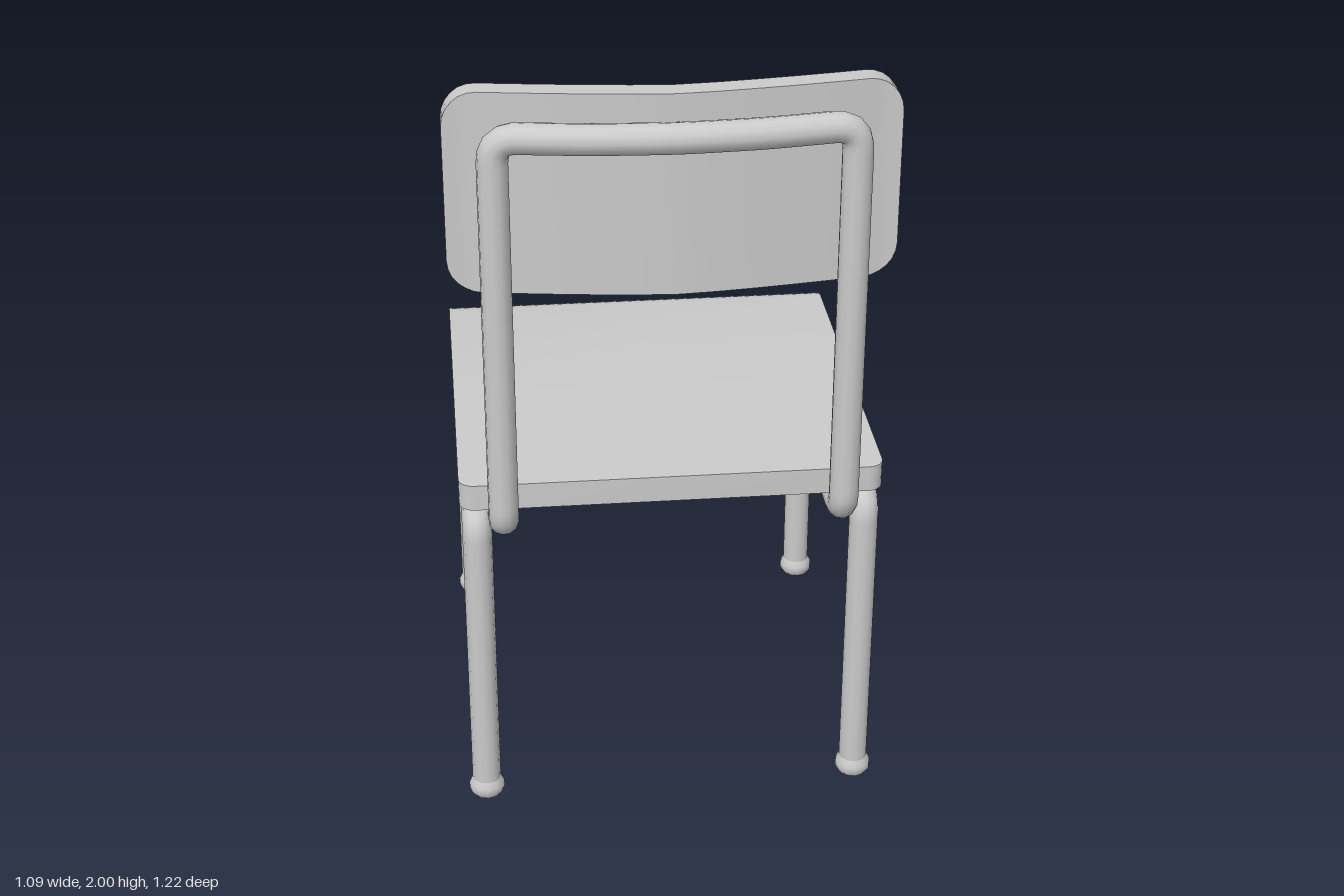
import * as THREE from 'three';
import { toCreasedNormals } from 'three/addons/utils/BufferGeometryUtils.js';

const material = new THREE.MeshStandardMaterial({ color: 0xcccccc });
const TUBE_R = 0.038;

function addMesh(parent, name, geometry) {
  const mesh = new THREE.Mesh(geometry, material);
  mesh.name = name;
  parent.add(mesh);
  return mesh;
}

// Bent steel tube through corner points, each corner rounded off
function bentTube(corners, bend, closed, segments) {
  const pts = corners.map((c) => new THREE.Vector3(...c));
  const n = pts.length;
  const toward = (a, b) => a.clone().lerp(b, Math.min(0.5, bend / a.distanceTo(b)));
  const path = new THREE.CurvePath();
  let last = closed ? toward(pts[0], pts[1]) : pts[0];
  for (let i = 1; i < (closed ? n + 1 : n - 1); i++) {
    const p = pts[i % n];
    const before = toward(p, pts[(i - 1) % n]);
    const after = toward(p, pts[(i + 1) % n]);
    if (last.distanceTo(before) > 1e-4) path.add(new THREE.LineCurve3(last, before));
    path.add(new THREE.QuadraticBezierCurve3(before, p, after));
    last = after;
  }
  if (!closed) path.add(new THREE.LineCurve3(last, pts[n - 1]));
  return new THREE.TubeGeometry(path, segments, TUBE_R, 12, closed);
}

// Curved board running along z with rounded corners; offset(z) lifts each section
function board(from, to, halfWidth, thickness, radius, offset, middle) {
  const stations = [];
  const steps = 6;
  for (let i = 0; i <= steps; i++) {
    const a = (i / steps) * Math.PI / 2;
    const inset = radius * (1 - Math.cos(a));
    const w = halfWidth - radius * (1 - Math.sin(a));
    stations.push([from + inset, w], [to - inset, w]);
  }
  middle.forEach((z) => stations.push([z, halfWidth]));
  stations.sort((a, b) => a[0] - b[0]);
  const n = stations.length - 1;
  const geometry = new THREE.BoxGeometry(1, 1, 1, 1, 1, n);
  const pos = geometry.attributes.position;
  for (let i = 0; i < pos.count; i++) {
    const [z, w] = stations[Math.round((pos.getZ(i) + 0.5) * n)];
    pos.setXYZ(i, pos.getX(i) * 2 * w, pos.getY(i) * thickness + offset(z), z);
  }
  return geometry;
}

export function createModel() {
  const chair = new THREE.Group();
  chair.name = 'chair';

  // Seat with its free edge curling down
  const lip = (z) => 0.926 - 0.032 * Math.max(0, (-0.52 - z) / 0.085) ** 1.5;
  addMesh(chair, 'seat', toCreasedNormals(
    board(-0.605, 0.495, 0.54, 0.07, 0.04, lip, [-0.55, -0.535, -0.52, 0]), 0.6));

  // Backrest, bowed across its width; turned so its length runs along x
  const bow = (x) => {
    const t = Math.min(1, Math.abs(x) / 0.5);
    return 0.511 - 0.062 * t ** 1.35;
  };
  const rest = board(-0.545, 0.545, 0.255, 0.062, 0.085, bow,
    [-0.4, -0.3, -0.2, -0.1, 0, 0.1, 0.2, 0.3, 0.4]);
  rest.applyMatrix4(new THREE.Matrix4().makeBasis(
    new THREE.Vector3(0, 1, 0), new THREE.Vector3(0, 0, 1), new THREE.Vector3(1, 0, 0)));
  addMesh(chair, 'backrest', toCreasedNormals(rest, 0.6)).position.y = 1.745;

  // One closed tube: bowed top, uprights, rails under the seat and cross bar
  addMesh(chair, 'backFrame', bentTube([
    [0, 1.902, 0.572], [0.2, 1.902, 0.561], [0.43, 1.902, 0.528],
    [0.43, 0.855, 0.528], [0.43, 0.855, -0.51],
    [-0.43, 0.855, -0.51], [-0.43, 0.855, 0.528],
    [-0.43, 1.902, 0.528], [-0.2, 1.902, 0.561],
  ], 0.06, true, 260));

  // Side frames: two legs joined by a rail, with a foot cap on each leg
  const footProfile = [[0, 0], [0.038, 0], [0.047, 0.014], [0.047, 0.032], [0.037, 0.052]]
    .map(([r, y]) => new THREE.Vector2(r, y));
  for (const [side, x] of [['left', 0.497], ['right', -0.497]]) {
    const frame = new THREE.Group();
    frame.name = side + 'LegFrame';
    chair.add(frame);
    addMesh(frame, side + 'Legs', bentTube([
      [x, 0.02, 0.465], [x, 0.855, 0.465], [x, 0.855, -0.56], [x, 0.02, -0.56],
    ], 0.06, false, 130));
    for (const z of [0.465, -0.56]) {
      addMesh(frame, side + 'Foot', new THREE.LatheGeometry(footProfile, 12)).position.set(x, 0, z);
    }
  }
  return chair;
}
